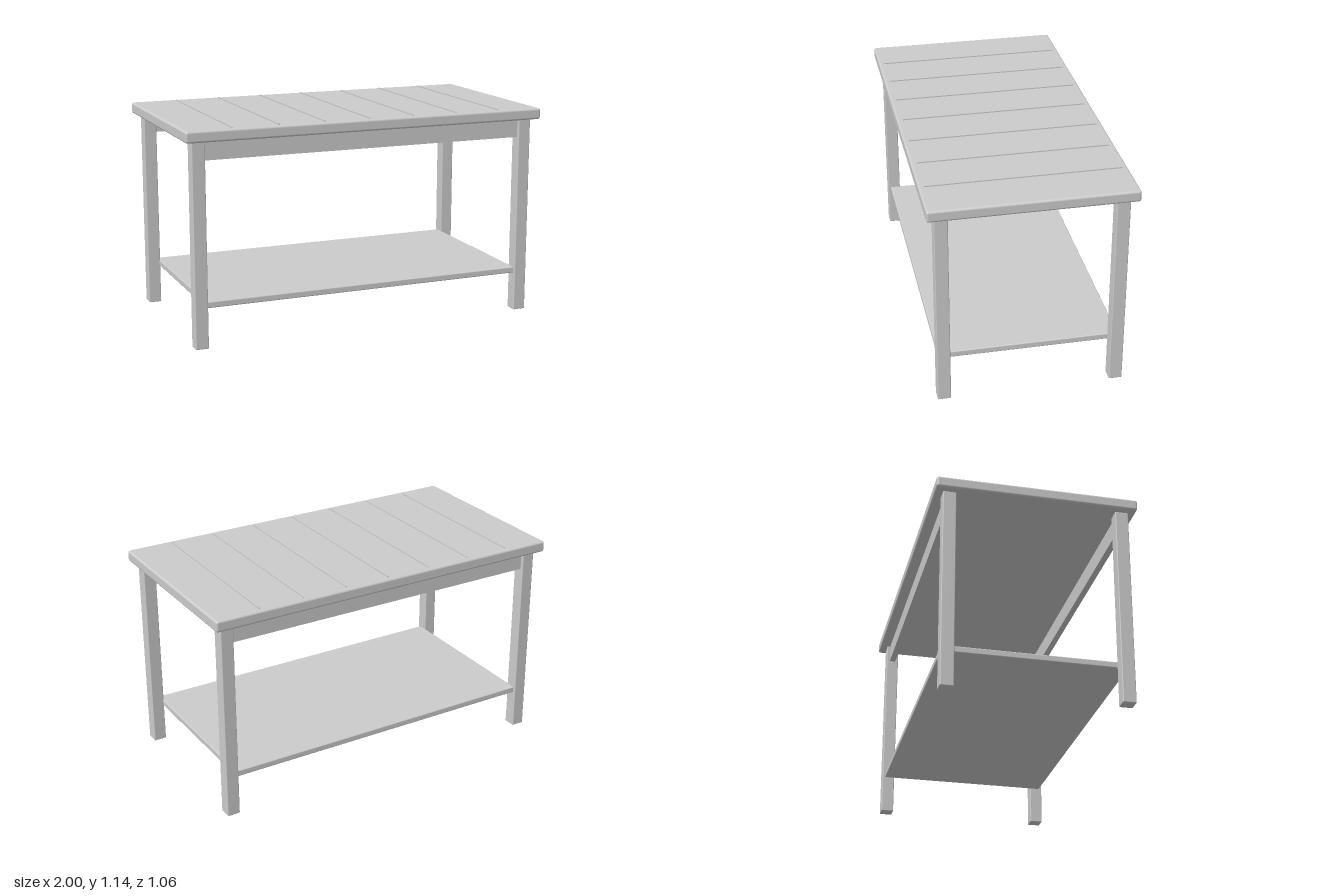
import * as THREE from 'three';
import { RoundedBoxGeometry } from 'three/addons/geometries/RoundedBoxGeometry.js';

export function createModel() {
  const group = new THREE.Group();
  const grey = new THREE.MeshStandardMaterial({ color: 0xcccccc });
  grey.name = 'light grey';

  // Box given by size and centre, with softened edges when a radius is set
  function box(name, [w, h, d], [x, y, z], radius = 0) {
    const geometry = radius
      ? new RoundedBoxGeometry(w, h, d, 2, radius)
      : new THREE.BoxGeometry(w, h, d);
    const mesh = new THREE.Mesh(geometry, grey);
    mesh.name = name;
    mesh.position.set(x, y, z);
    group.add(mesh);
  }

  // Table top and lower shelf
  box('tableTop', [2, 0.06, 1.06], [0, 1.109, 0], 0.012);
  box('lowerShelf', [1.79, 0.034, 0.95], [0, 0.228, 0], 0.006);

  // Thin seam strips between the planks
  for (let i = -3; i <= 3; i++) {
    box('plankSeam', [0.005, 0.007, 1], [i * 0.25, 1.1415, 0]);
  }

  // Aprons along the front and back, and the four legs
  for (const z of [-0.455, 0.455]) {
    box(z > 0 ? 'frontApron' : 'backApron', [1.79, 0.1, 0.034], [0, 1.029, z]);
    for (const x of [-0.925, 0.925]) {
      const name = (z > 0 ? 'front' : 'back') + (x > 0 ? 'Left' : 'Right') + 'Leg';
      box(name, [0.07, 1.079, 0.07], [x, 0.5395, z], 0.005);
    }
  }

  return group;
}
